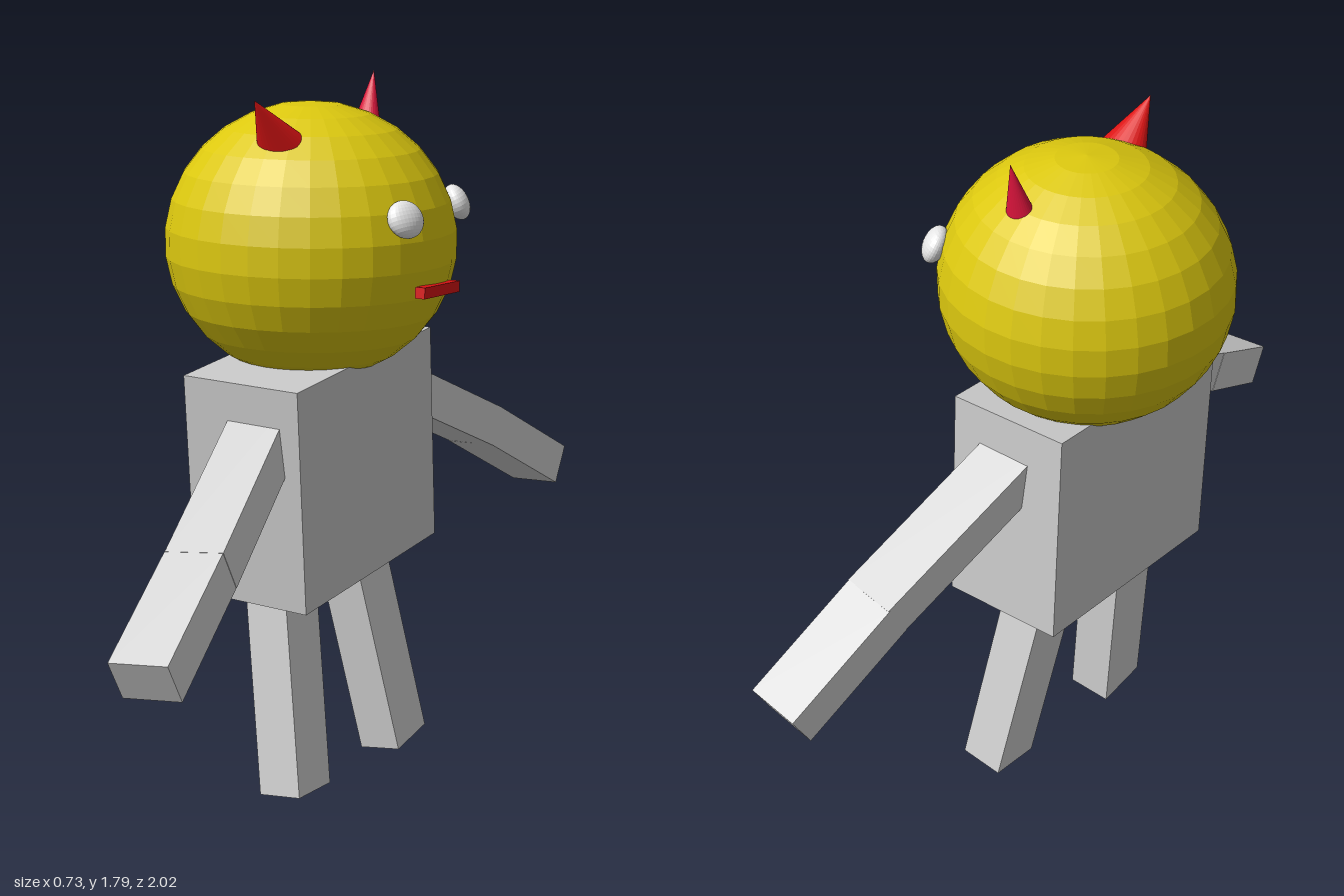
import * as THREE from 'three';

const flat = (color, name) => {
  const m = new THREE.MeshStandardMaterial({ color, flatShading: true });
  m.name = name;
  return m;
};
const V = (p) => new THREE.Vector3(...p);

export function createModel() {
  const group = new THREE.Group();
  const mats = {
    yellow: flat(0xdcc80f, 'yellow'),
    bodyGrey: flat(0xcacaca, 'body grey'),
    limbGrey: flat(0xd5d5d5, 'limb grey'),
    white: flat(0xe6e6e6, 'eye white'),
    red: flat(0xdc1414, 'red'),
    crimson: flat(0xdc143c, 'crimson'),
  };

  const add = (name, geometry, material, position = [0, 0, 0]) => {
    const mesh = new THREE.Mesh(geometry, material);
    mesh.name = name;
    mesh.position.set(...position);
    group.add(mesh);
    return mesh;
  };

  // Turns a mesh so its y axis runs from a to b and its x axis stays near world x
  const align = (mesh, a, b) => {
    const y = V(b).sub(V(a)).normalize();
    const x = new THREE.Vector3(1, 0, 0).addScaledVector(y, -y.x).normalize();
    const z = new THREE.Vector3().crossVectors(x, y);
    mesh.quaternion.setFromRotationMatrix(new THREE.Matrix4().makeBasis(x, y, z));
    mesh.position.copy(V(a).add(V(b)).multiplyScalar(0.5));
    return mesh;
  };

  // Box limb between two points
  const limb = (name, a, b, width, depth) =>
    align(add(name, new THREE.BoxGeometry(width, V(a).distanceTo(V(b)), depth), mats.limbGrey), a, b);

  // Elliptical cone from base to tip
  const horn = (name, a, b, rx, rz, material) => {
    const geo = new THREE.ConeGeometry(1, V(a).distanceTo(V(b)), 30).scale(rx, 1, rz);
    align(add(name, geo, material), a, b);
  };

  // Head
  const headCentre = [-0.006, 1.39, 0.003];
  add('head', new THREE.SphereGeometry(1, 30, 15).scale(0.362, 0.34, 0.349), mats.yellow, headCentre);

  // Torso, slightly tilted
  const torso = add('torso', new THREE.BoxGeometry(0.325, 0.559, 0.62), mats.bodyGrey, [0.002, 0.84, -0.002]);
  torso.rotation.set(0.087, -0.03, -0.01);

  // Arms, each in two pieces
  limb('leftUpperArm', [0.01, 0.995, 0.21], [0.108, 0.742, 0.67], 0.145, 0.11);
  limb('leftForearm', [0.106, 0.744, 0.665], [0.163, 0.578, 0.97], 0.145, 0.11);
  limb('rightUpperArm', [0.01, 1.025, -0.21], [0.108, 0.796, -0.685], 0.145, 0.108);
  limb('rightForearm', [0.106, 0.798, -0.68], [0.163, 0.633, -0.972], 0.145, 0.108);

  // Legs
  limb('leftLeg', [-0.045, 0.7, 0.103], [0.037, 0.013, 0.15], 0.115, 0.15);
  limb('rightLeg', [-0.022, 0.7, -0.165], [0.085, 0.024, -0.272], 0.115, 0.147);

  // Horns
  horn('leftHorn', [0.027, 1.65, 0.2], [0.016, 1.755, 0.29], 0.06, 0.045, mats.red);
  horn('rightHorn', [0.04, 1.63, -0.182], [0.042, 1.79, -0.22], 0.044, 0.032, mats.crimson);

  // Eyes: flattened balls lying on the head surface
  for (const [name, p] of [['leftEye', [0.325, 1.482, 0.125]], ['rightEye', [0.293, 1.482, -0.193]]]) {
    const eye = add(name, new THREE.SphereGeometry(1, 30, 15).scale(0.049, 0.046, 0.029), mats.white, p);
    eye.lookAt(V(p).multiplyScalar(2).sub(V(headCentre)).add(new THREE.Vector3(0, 0.08, 0)));
  }

  // Mouth
  const mouth = add('mouth', new THREE.BoxGeometry(0.025, 0.027, 0.2), mats.red, [0.348, 1.301, 0.005]);
  mouth.rotation.set(-0.07, 0.06, 0);

  return group;
}
